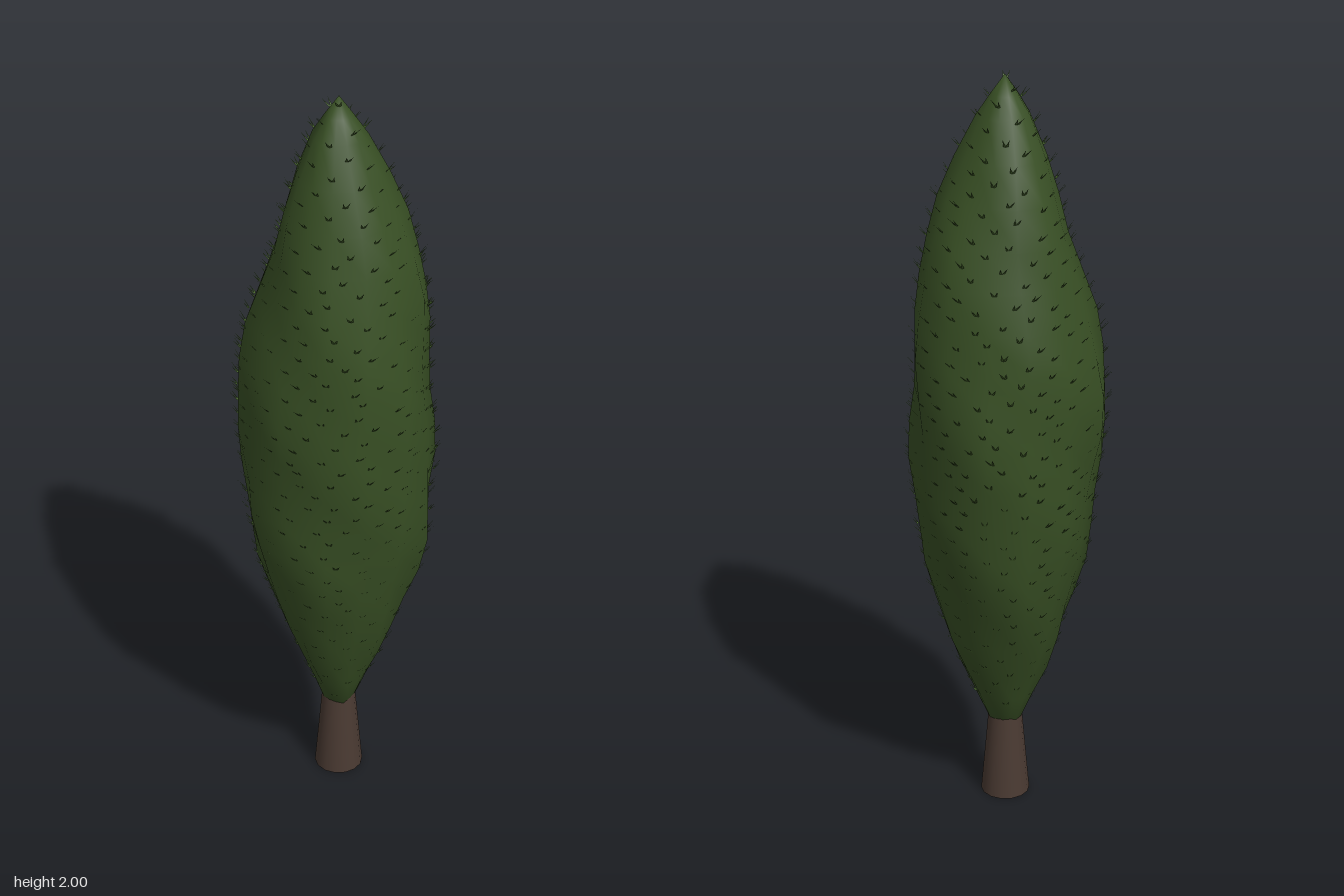
import * as THREE from 'three';
import { mergeVertices } from 'three/addons/utils/BufferGeometryUtils.js';

// Crown outline as [radius, height]
const PROFILE = [
  [0, 0.215], [0.042, 0.225], [0.075, 0.31], [0.115, 0.4], [0.152, 0.5], [0.182, 0.6],
  [0.21, 0.7], [0.228, 0.8], [0.238, 0.9], [0.246, 1.0], [0.25, 1.1], [0.248, 1.2],
  [0.24, 1.3], [0.226, 1.4], [0.206, 1.5], [0.18, 1.6], [0.15, 1.7], [0.112, 1.8],
  [0.068, 1.9], [0.036, 1.95], [0, 2.0],
];

function profileRadius(y) {
  for (let i = 1; i < PROFILE.length; i++) {
    const [r0, y0] = PROFILE[i - 1], [r1, y1] = PROFILE[i];
    if (y <= y1) return r0 + (r1 - r0) * (y - y0) / (y1 - y0);
  }
  return 0;
}

// Point on the lumpy crown surface; angle 0 faces +z
function crownPoint(angle, y, scale = 1) {
  const lump = 1 + 0.035 * Math.sin(3 * angle + 5 * y) + 0.03 * Math.sin(5 * angle - 8 * y + 1)
    + 0.02 * Math.sin(4 * angle + 17 * y + 2);
  const r = profileRadius(y) * lump * scale;
  const body = Math.sin(Math.PI * (y - 0.215) / 1.785);
  const dx = 0.015 * Math.exp(-(((y - 1.58) / 0.18) ** 2)) - 0.008 * Math.exp(-(((y - 1.2) / 0.15) ** 2));
  return new THREE.Vector3(r * Math.sin(angle) + dx, y, r * Math.cos(angle) - 0.008 * body);
}

function crownGeometry() {
  const geo = new THREE.LatheGeometry(PROFILE.map(([r, y]) => new THREE.Vector2(r, y)), 14);
  const pos = geo.attributes.position;
  const rows = PROFILE.length;
  for (let i = 0; i < pos.count; i++) {
    const p = crownPoint(Math.floor(i / rows) % 14 / 14 * Math.PI * 2, pos.getY(i));
    pos.setXYZ(i, p.x, p.y, p.z);
  }
  geo.deleteAttribute('uv');
  geo.deleteAttribute('normal');
  const welded = mergeVertices(geo, 1e-5);
  welded.computeVertexNormals();
  return welded;
}

// Forked sprigs spread evenly over the crown in a golden-angle spiral
function sprigGeometry() {
  let seed = 7;
  const rand = () => (seed = (seed * 16807) % 2147483647) / 2147483647;
  const verts = [];
  const up = new THREE.Vector3(0, 1, 0);
  let angle = 0;
  for (let y = 0.26; y < 1.985; angle += 2.39996) {
    const a = angle + (rand() - 0.5) * 0.15;
    const base = crownPoint(a, y, 0.975);
    const out = new THREE.Vector3(Math.sin(a), 0, Math.cos(a));
    const side = new THREE.Vector3(Math.cos(a), 0, -Math.sin(a));
    const dir = out.clone().multiplyScalar(0.65).addScaledVector(up, 0.75)
      .addScaledVector(side, (rand() - 0.5) * 0.5).normalize();
    const length = 0.026 + 0.008 * rand();
    const at = (s, d) => base.clone().addScaledVector(side, s).addScaledVector(dir, d);
    for (const k of [-1, 1]) {
      const blade = [at(-k * 0.002, 0), at(k * 0.006, 0.004), at(k * 0.009, length)];
      if (k < 0) blade.reverse();
      for (const p of blade) verts.push(p.x, p.y, p.z);
    }
    y += 0.0031 / (2 * Math.PI * Math.max(profileRadius(y), 0.025));
  }
  const geo = new THREE.BufferGeometry();
  geo.setAttribute('position', new THREE.Float32BufferAttribute(verts, 3));
  geo.computeVertexNormals();
  return geo;
}

export function createModel() {
  const bark = new THREE.MeshStandardMaterial({ name: 'bark brown', color: 0x4a3a32 });
  const foliage = new THREE.MeshStandardMaterial({ name: 'foliage green', color: 0x384f24 });
  const leaf = new THREE.MeshStandardMaterial({ name: 'leaf green', color: 0x46652b, side: THREE.DoubleSide });

  const model = new THREE.Group();
  model.name = 'cypressTree';
  const add = (name, geometry, material) => {
    const mesh = new THREE.Mesh(geometry, material);
    mesh.name = name;
    model.add(mesh);
    return mesh;
  };

  // Tapered trunk running up into the crown
  add('trunk', new THREE.CylinderGeometry(0.042, 0.066, 0.28, 14), bark).position.y = 0.14;
  add('crown', crownGeometry(), foliage);
  add('leafSprigs', sprigGeometry(), leaf);
  return model;
}
